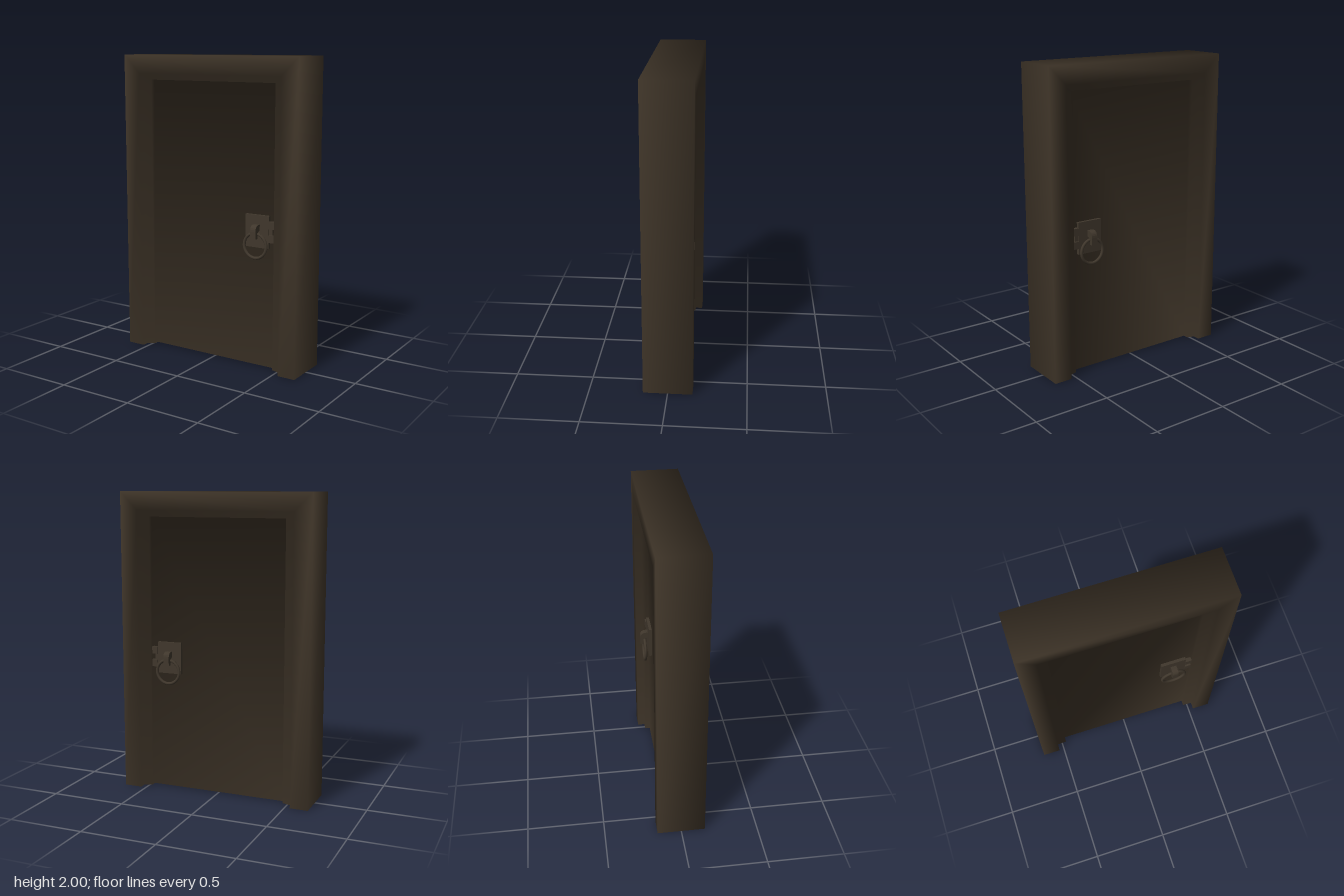
import * as THREE from 'three';

const wood = new THREE.MeshStandardMaterial({ color: 0x3d3327 });
wood.name = 'dark wood';
const iron = new THREE.MeshStandardMaterial({ color: 0x40372c });
iron.name = 'dark iron';

const W = 0.655, H = 2, D = 0.157, DOOR_Z = 0.075, DOOR_IN = 0.185;

// Jamb cross-section, outer back corner first: [inset from outer edge, z]
const profile = [
  [0, -D], [0, D], [0.12, D], [0.12, 0.11], [DOOR_IN, 0.11], [DOOR_IN, DOOR_Z],
  [DOOR_IN, -DOOR_Z], [DOOR_IN, -0.11], [0.12, -0.11], [0.12, -D],
];

// Builds quads on shared points, with normals averaged evenly between the faces
function smoothQuads(points, quads) {
  const normals = points.map(() => new THREE.Vector3());
  const index = [];
  for (const [a, b, c, d] of quads) {
    const n = points[c].clone().sub(points[a]).cross(points[d].clone().sub(points[b])).normalize();
    for (const i of [a, b, c, d]) normals[i].add(n);
    index.push(a, b, c, a, c, d);
  }
  const geo = new THREE.BufferGeometry();
  geo.setAttribute('position', new THREE.Float32BufferAttribute(points.flatMap((p) => p.toArray()), 3));
  geo.setAttribute('normal', new THREE.Float32BufferAttribute(normals.flatMap((n) => n.normalize().toArray()), 3));
  geo.setIndex(index);
  return geo;
}

function add(parent, name, geo, mat, x = 0, y = 0, z = 0) {
  const mesh = new THREE.Mesh(geo, mat);
  mesh.name = name;
  mesh.position.set(x, y, z);
  parent.add(mesh);
  return mesh;
}

// Frame swept up, across and down, with the door leaf joined to its inner edge
function frameAndDoorGeometry() {
  const n = profile.length, points = [], quads = [];
  for (const [side, top] of [[-1, false], [-1, true], [1, true], [1, false]]) {
    for (const [inset, z] of profile) {
      // the head of the frame is shallower steps than the jambs
      const drop = inset > 0.12 ? 0.163 : inset;
      const foot = inset > 0.12 ? 0.01 : 0;
      points.push(new THREE.Vector3(side * (W - inset), top ? H - drop : foot, z));
    }
  }
  for (let s = 0; s < 3; s++) {
    for (let j = 0; j < n; j++) {
      if (j === 5) continue; // edge hidden by the door
      const k = (j + 1) % n;
      quads.push([s * n + j, s * n + k, (s + 1) * n + k, (s + 1) * n + j]);
    }
  }
  quads.push([5, 3 * n + 5, 2 * n + 5, n + 5]); // door front
  quads.push([6, n + 6, 2 * n + 6, 3 * n + 6]); // door back
  return smoothQuads(points, quads);
}

// Plate, hook, ring and latch on one face of the door
function handle() {
  const g = new THREE.Group();
  add(g, 'handlePlate', new THREE.BoxGeometry(0.17, 0.21, 0.02), iron, 0.34, 0.905, DOOR_Z + 0.01);

  // Hook: side outline extruded across its width
  const s = new THREE.Shape();
  s.moveTo(0, 0.95);
  s.lineTo(0.025, 0.95);
  s.quadraticCurveTo(0.055, 0.945, 0.055, 0.91);
  s.lineTo(0.055, 0.862);
  s.lineTo(0.03, 0.862);
  s.lineTo(0.03, 0.9);
  s.lineTo(0, 0.915);
  const hook = new THREE.ExtrudeGeometry(s, { depth: 0.04, bevelEnabled: false, curveSegments: 5 });
  hook.rotateY(-Math.PI / 2); // outline x becomes z
  add(g, 'hook', hook, iron, 0.36, 0, DOOR_Z + 0.018);

  add(g, 'pullRing', new THREE.TorusGeometry(0.08, 0.01, 8, 32), iron, 0.34, 0.815, DOOR_Z + 0.043);

  // Latch by the door's edge: two knuckles on a thin bar
  for (const y of [0.952, 0.865]) {
    add(g, 'latchKnuckle', new THREE.BoxGeometry(0.04, 0.048, 0.026), iron, 0.445, y, DOOR_Z + 0.013);
  }
  add(g, 'latchBar', new THREE.BoxGeometry(0.025, 0.05, 0.014), iron, 0.436, 0.908, DOOR_Z + 0.007);
  return g;
}

export function createModel() {
  const root = new THREE.Group();
  root.name = 'door';
  add(root, 'frameAndDoor', frameAndDoorGeometry(), wood);

  // Undersides of the two jambs and of the door leaf
  for (const side of [-1, 1]) {
    const shape = new THREE.Shape(profile.map(([inset, z]) => new THREE.Vector2(side * (W - inset), z)));
    add(root, 'jambFoot', new THREE.ShapeGeometry(shape).rotateX(Math.PI / 2), wood);
  }
  const under = new THREE.PlaneGeometry(2 * (W - DOOR_IN), 2 * DOOR_Z).rotateX(Math.PI / 2);
  add(root, 'doorUnderside', under, wood, 0, 0.01, 0);

  // Handles on both faces
  const front = handle();
  front.name = 'frontHandle';
  const back = handle();
  back.name = 'backHandle';
  back.scale.z = -1;
  root.add(front, back);
  return root;
}
